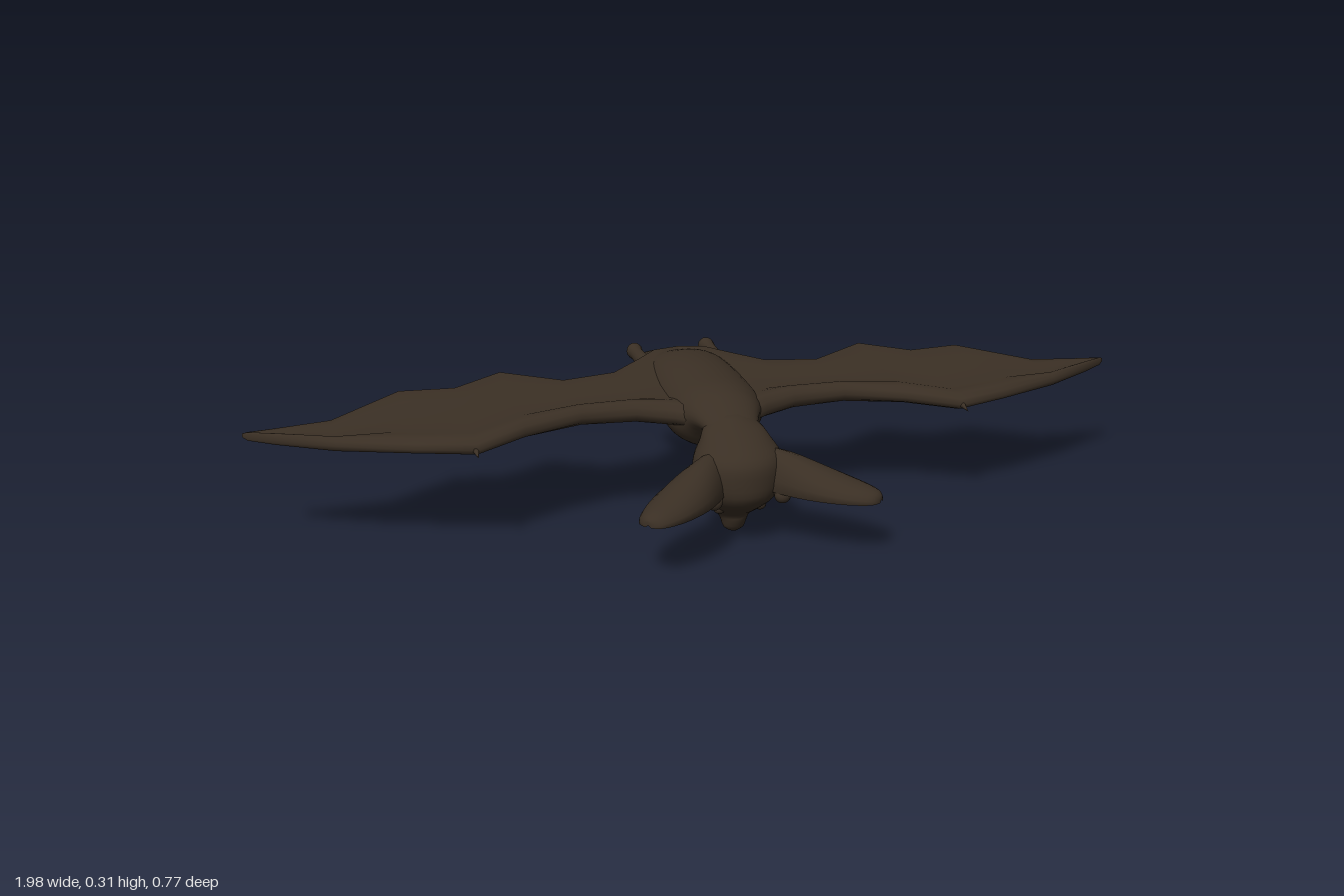
import * as THREE from 'three';

// Skin a list of rings (arrays of Vector3) into a closed, outward-facing smooth solid.
function loft(rings) {
  const n = rings[0].length, pos = [], index = [];
  rings.forEach(r => r.forEach(p => pos.push(p.x, p.y, p.z)));
  for (let i = 0; i < rings.length - 1; i++) {
    for (let j = 0; j < n; j++) {
      const a = i * n + j, b = i * n + (j + 1) % n;
      index.push(a, b, a + n, b, b + n, a + n);
    }
  }
  [0, rings.length - 1].forEach(i => {
    const c = new THREE.Vector3();
    rings[i].forEach(p => c.addScaledVector(p, 1 / n));
    const ci = pos.length / 3;
    pos.push(c.x, c.y, c.z);
    for (let j = 0; j < n; j++) {
      const a = i * n + j, b = i * n + (j + 1) % n;
      if (i === 0) index.push(ci, b, a); else index.push(ci, a, b);
    }
  });
  // Flip the winding when the enclosed volume is negative
  let volume = 0;
  const v = k => new THREE.Vector3().fromArray(pos, k * 3);
  for (let k = 0; k < index.length; k += 3) {
    volume += v(index[k]).dot(v(index[k + 1]).cross(v(index[k + 2])));
  }
  if (volume < 0) index.reverse();
  const g = new THREE.BufferGeometry();
  g.setAttribute('position', new THREE.Float32BufferAttribute(pos, 3));
  g.setIndex(index);
  g.computeVertexNormals();
  return g;
}

const V = (x, y, z) => new THREE.Vector3(x, y, z);

// Ring of n points from a function of angle
const ring = (n, f) => Array.from({ length: n }, (_, k) => f(k / n * Math.PI * 2));

// Resample rows of numbers smoothly along a spline-like ease
function refine(rows, steps) {
  const out = [];
  for (let i = 0; i < rows.length - 1; i++) {
    const p0 = rows[Math.max(i - 1, 0)], p1 = rows[i], p2 = rows[i + 1];
    const p3 = rows[Math.min(i + 2, rows.length - 1)];
    for (let s = 0; s < steps; s++) {
      const t = s / steps;
      out.push(p1.map((a, k) => 0.5 * (2 * a + (p2[k] - p0[k]) * t
        + (2 * p0[k] - 5 * a + 4 * p2[k] - p3[k]) * t * t
        + (3 * a - p0[k] - 3 * p2[k] + p3[k]) * t * t * t)));
    }
  }
  out.push(rows[rows.length - 1]);
  return out;
}

// Height of the wing sheet, rising to the rear and drooping at the tip
const wingY = (x, z) => 0.243 - 0.17 * z - 0.015 * Math.max(0, (x - 0.6) / 0.4);

function wingGeometry(s) {
  // x, leading z, trailing z, half thickness of the leading arm
  const stations = [
    [0.00, 0.07, -0.31, 0.024], [0.06, 0.065, -0.30, 0.024], [0.105, 0.038, -0.26, 0.024],
    [0.18, 0.006, -0.20, 0.022], [0.30, 0.00, -0.183, 0.020], [0.43, 0.042, -0.25, 0.019],
    [0.54, 0.10, -0.19, 0.018], [0.66, 0.068, -0.203, 0.016], [0.815, 0.008, -0.105, 0.014],
    [0.93, -0.052, -0.10, 0.012], [0.985, -0.082, -0.10, 0.009], [0.995, -0.09, -0.098, 0.004]
  ];
  // Chord fraction and thickness fraction over the upper side
  const chord = [[0, 0], [0.02, 0.6], [0.07, 1], [0.15, 0.95], [0.26, 0.5], [0.5, 0.3], [0.8, 0.24], [1, 0.18]];
  return loft(stations.map(([x, lead, trail, h]) => {
    const point = ([c, t], side) => {
      const z = lead + (trail - lead) * c;
      return V(s * x, wingY(x, z) + side * h * t, z);
    };
    return [...chord.map(c => point(c, 1)), ...chord.slice(1).reverse().map(c => point(c, -1))];
  }));
}

function earGeometry(s) {
  const base = V(0.06, 0.115, 0.17), tip = V(0.248, 0.115, 0.345);
  const across = V(0.678, 0, -0.735);
  // fraction along the ear, half width, arch height
  const rows = [[0, 0.035, 0.085], [0.2, 0.048, 0.078], [0.45, 0.057, 0.06], [0.7, 0.053, 0.042],
    [0.88, 0.040, 0.03], [0.97, 0.025, 0.021], [1, 0.008, 0.012]];
  return loft(refine(rows, 3).map(([t, w, h]) => {
    const c = base.clone().lerp(tip, t), pts = [];
    const add = (a, kw, kh) => {
      const p = c.clone().addScaledVector(across, w * kw * Math.sin(a));
      p.y += h * kh * Math.cos(a);
      p.x *= s;
      pts.push(p);
    };
    for (let k = 0; k <= 10; k++) add(-Math.PI / 2 + Math.PI * k / 10, 1, 1);
    for (let k = 10; k >= 0; k--) add(-Math.PI / 2 + Math.PI * k / 10, 0.85, 0.4); // hollow underside
    return pts;
  }));
}

export function createModel() {
  const model = new THREE.Group();
  const bat = new THREE.Group();
  bat.name = 'bat';
  bat.rotation.y = -0.095;
  model.add(bat);

  const fur = new THREE.MeshStandardMaterial({ color: 0x3a2f24 });
  fur.name = 'darkBrownFur';
  const add = (name, geometry) => {
    const mesh = new THREE.Mesh(geometry, fur);
    mesh.name = name;
    bat.add(mesh);
    return mesh;
  };

  // Body and tail membrane: z, centre y, half width, half height
  const bodyRows = [
    [0.15, 0.215, 0.045, 0.018], [0.10, 0.235, 0.062, 0.03], [0.06, 0.241, 0.08, 0.045],
    [0.03, 0.230, 0.095, 0.065], [0, 0.226, 0.105, 0.074], [-0.05, 0.228, 0.11, 0.076],
    [-0.15, 0.243, 0.106, 0.068], [-0.23, 0.256, 0.098, 0.054], [-0.28, 0.268, 0.088, 0.033],
    [-0.32, 0.272, 0.082, 0.017], [-0.355, 0.275, 0.075, 0.010]
  ];
  add('body', loft(refine(bodyRows, 3).map(([z, y, rx, ry]) =>
    ring(32, a => V(rx * Math.cos(a), y + ry * Math.sin(a), z)))));

  // Head with the snout pointing down: y, centre z, half width, half depth
  const headRows = [
    [0, 0.122, 0.006, 0.006], [0.01, 0.122, 0.022, 0.019], [0.03, 0.122, 0.029, 0.029],
    [0.045, 0.122, 0.038, 0.036], [0.07, 0.13, 0.062, 0.07], [0.10, 0.147, 0.084, 0.09],
    [0.14, 0.15, 0.097, 0.092], [0.18, 0.15, 0.094, 0.086], [0.21, 0.135, 0.077, 0.068],
    [0.235, 0.112, 0.06, 0.05], [0.257, 0.09, 0.025, 0.025]
  ];
  add('head', loft(refine(headRows, 3).map(([y, z, rx, rz]) =>
    ring(32, a => V(rx * Math.cos(a), y, z + rz * Math.sin(a))))));

  for (const s of [1, -1]) {
    const side = s > 0 ? 'left' : 'right';
    add(side + 'Wing', wingGeometry(s));
    add(side + 'Ear', earGeometry(s));

    // Small inner ear lobe and eye
    const lobe = add(side + 'EarLobe', new THREE.SphereGeometry(0.018, 16, 12));
    lobe.position.set(s * 0.075, 0.108, 0.225);
    const eye = add(side + 'Eye', new THREE.SphereGeometry(0.014, 16, 12));
    eye.position.set(s * 0.045, 0.072, 0.165);

    // Thumb claw at the wrist of the wing
    const claw = add(side + 'ThumbClaw', new THREE.ConeGeometry(0.008, 0.04, 10));
    claw.rotation.x = Math.PI / 2 + 0.2;
    claw.position.set(s * 0.543, 0.222, 0.107);

    // Leg and foot trailing behind
    const legRows = [[-0.22, 0.07, 0.262, 0.02], [-0.29, 0.084, 0.272, 0.018], [-0.345, 0.088, 0.278, 0.016],
      [-0.372, 0.088, 0.28, 0.019], [-0.382, 0.087, 0.28, 0.014]];
    add(side + 'Leg', loft(refine(legRows, 3).map(([z, x, y, r]) =>
      ring(14, a => V(s * x + r * Math.cos(a), y + r * Math.sin(a), z)))));
  }
  return model;
}
